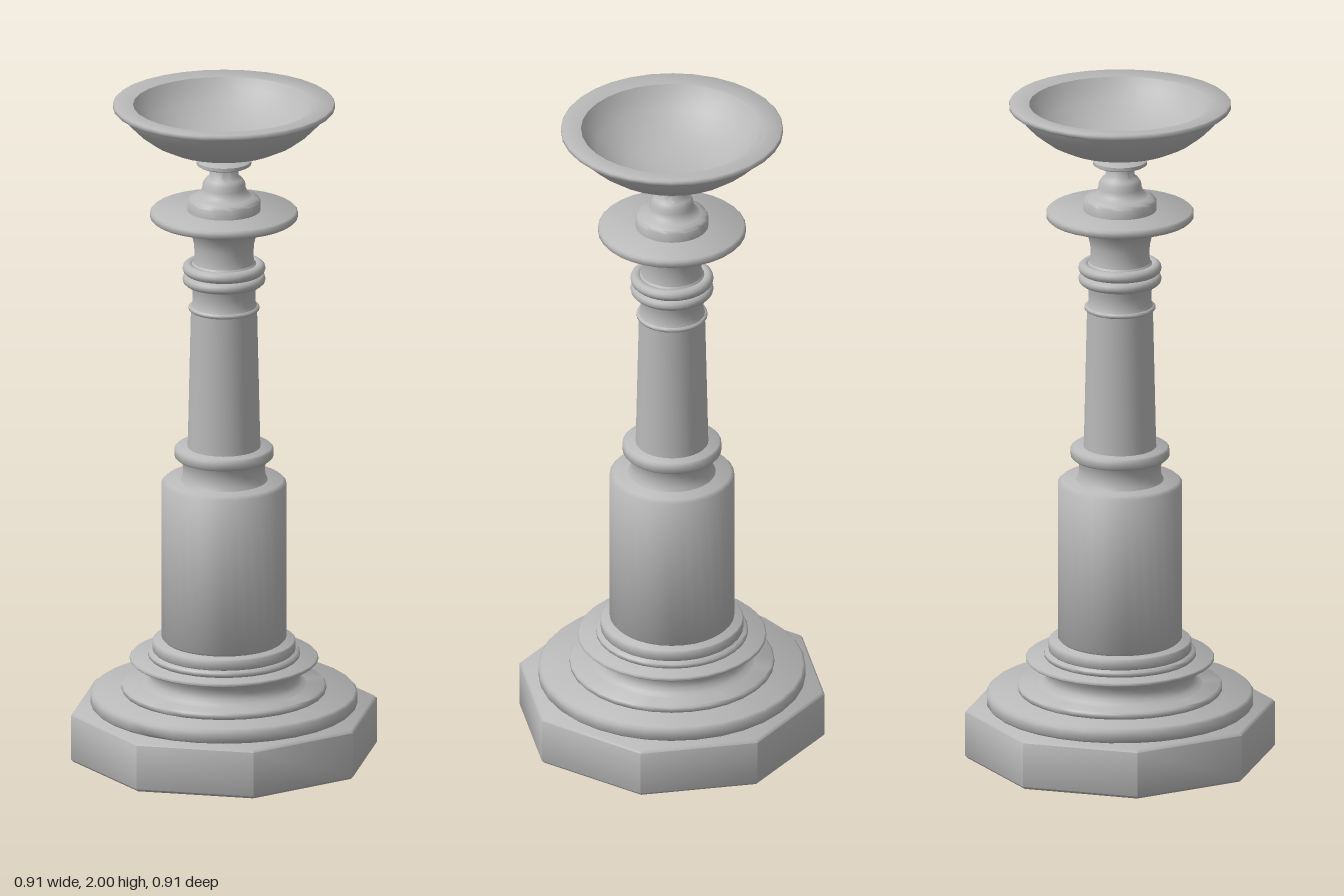
import * as THREE from 'three';
import { toCreasedNormals } from 'three/addons/utils/BufferGeometryUtils.js';

export function createModel() {
  const model = new THREE.Group();
  model.name = 'pedestalBowl';
  const stone = new THREE.MeshStandardMaterial({ color: 0xb8b8b8 });
  stone.name = 'greyStone';

  // Turns a profile of [radius, height] points, bottom to top
  function turned(name, profile, sides = 32, crease = 0.9) {
    const points = profile.map(([r, y]) => new THREE.Vector2(r, y));
    const geometry = toCreasedNormals(new THREE.LatheGeometry(points, sides), crease);
    const mesh = new THREE.Mesh(geometry, stone);
    mesh.name = name;
    model.add(mesh);
  }

  // Closed disc with softened edges
  function disc(name, r, y0, y1, bevel = 0.004, sides = 32) {
    turned(name, [[0, y0], [r - bevel, y0], [r, y0 + bevel], [r, y1 - bevel], [r - bevel, y1], [0, y1]], sides);
  }

  // Octagonal plinth with corners on the axes, and round steps
  disc('octagonalPlinth', 0.457, 0, 0.15, 0.008, 8);
  disc('lowerStep', 0.392, 0.15, 0.195, 0.008);
  disc('upperStep', 0.3, 0.195, 0.215);

  // Hollowed moulding under the column
  turned('baseCove', [[0.245, 0.213], [0.23, 0.222], [0.22, 0.235], [0.219, 0.25], [0.224, 0.265], [0.234, 0.28], [0.24, 0.291]]);
  disc('baseFlange', 0.277, 0.288, 0.3);
  disc('baseRing', 0.223, 0.3, 0.318);
  disc('columnFoot', 0.21, 0.318, 0.352);

  // Wide lower column and its collar
  disc('lowerColumn', 0.183, 0.35, 0.843, 0.01);
  turned('collarNeck', [[0.13, 0.84], [0.122, 0.855], [0.12, 0.875], [0.122, 0.895], [0.13, 0.913]]);
  disc('collar', 0.145, 0.91, 0.945, 0.006);

  // Tapered shaft
  turned('shaft', [[0.107, 0.943], [0.106, 0.97], [0.097, 1.366]]);
  disc('shaftRing', 0.104, 1.365, 1.378, 0.003);
  turned('shaftNeck', [[0.097, 1.377], [0.092, 1.39], [0.092, 1.42], [0.098, 1.445]]);

  // Pair of rounded rings
  for (const y of [1.46, 1.493]) {
    const ring = new THREE.Mesh(new THREE.TorusGeometry(0.105, 0.017, 12, 32).rotateX(Math.PI / 2), stone);
    ring.name = 'roundedRing';
    ring.position.y = y;
    model.add(ring);
  }
  turned('ringCore', [[0.098, 1.44], [0.105, 1.46], [0.105, 1.493], [0.09, 1.512]]);

  // Flared capital with a wide plate
  turned('capital', [[0.09, 1.51], [0.086, 1.53], [0.088, 1.565], [0.096, 1.6], [0.115, 1.62], [0.15, 1.638], [0.185, 1.648]]);
  disc('capitalPlate', 0.217, 1.645, 1.671, 0.006);

  // Stacked mouldings carrying the bowl
  turned('bowlStem', [
    [0.107, 1.67], [0.107, 1.7], [0.102, 1.708], [0.085, 1.714], [0.07, 1.724], [0.064, 1.74], [0.062, 1.755],
    [0.054, 1.768], [0.043, 1.776], [0.041, 1.805], [0.073, 1.808], [0.08, 1.812], [0.08, 1.822], [0.073, 1.826],
    [0.05, 1.83], [0.055, 1.84], [0.068, 1.848]]);

  // Bowl: outside, lip, then hollow inside
  turned('bowl', [
    [0, 1.845], [0.07, 1.845], [0.12, 1.852], [0.17, 1.868], [0.215, 1.89], [0.255, 1.92], [0.285, 1.95], [0.303, 1.98],
    [0.322, 1.982], [0.326, 1.986], [0.326, 1.996], [0.322, 2], [0.267, 1.995],
    [0.25, 1.965], [0.22, 1.935], [0.18, 1.905], [0.13, 1.88], [0.07, 1.868], [0, 1.866]]);

  return model;
}
